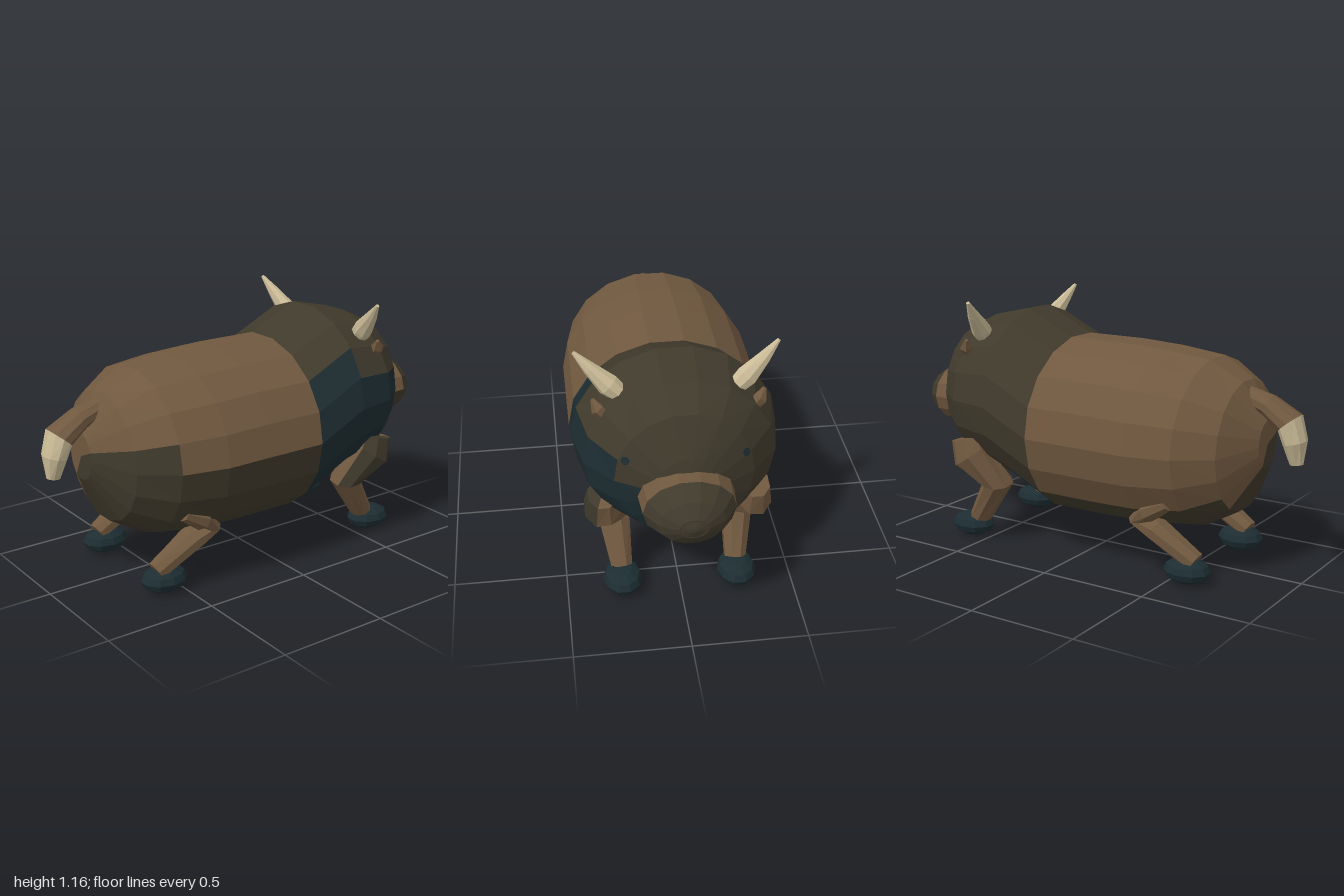
import * as THREE from 'three';

const mat = (name, color) => Object.assign(new THREE.MeshStandardMaterial({ color, flatShading: true }), { name });

// Loft through rings [x, y, z, halfWidthX, halfDepth]; pick(ring, angle) returns a material index.
function loft(name, rings, sides, mats, pick = () => 0, alongZ = false, phase = 0) {
  const P = rings.map(r => new THREE.Vector3(r[0], r[1], r[2]));
  const loops = rings.map((r, i) => {
    const t = alongZ ? new THREE.Vector3(0, 0, 1)
      : P[Math.min(i + 1, P.length - 1)].clone().sub(P[Math.max(i - 1, 0)]).normalize();
    const u = new THREE.Vector3(1, 0, 0).addScaledVector(t, -t.x).normalize();
    const v = t.clone().cross(u);
    return Array.from({ length: sides }, (_, j) => {
      const a = (j + phase) / sides * Math.PI * 2;
      return P[i].clone().addScaledVector(u, Math.cos(a) * r[3]).addScaledVector(v, Math.sin(a) * r[4]);
    });
  });
  const buckets = mats.map(() => []);
  const tri = (m, ...pts) => pts.forEach(p => buckets[m].push(p.x, p.y, p.z));
  const last = P.length - 1;
  for (let j = 0; j < sides; j++) {
    const k = (j + 1) % sides;
    const ang = (j + 0.5 + phase) / sides * 360;
    for (let i = 0; i < last; i++) {
      const m = pick(i, ang), A = loops[i], B = loops[i + 1];
      tri(m, A[j], A[k], B[k]);
      tri(m, A[j], B[k], B[j]);
    }
    tri(pick(-1, ang), P[0], loops[0][k], loops[0][j]);
    tri(pick(last, ang), P[last], loops[last][j], loops[last][k]);
  }
  const g = new THREE.BufferGeometry();
  let start = 0;
  buckets.forEach((b, m) => {
    g.addGroup(start, b.length / 3, m);
    start += b.length / 3;
  });
  g.setAttribute('position', new THREE.Float32BufferAttribute(buckets.flat(), 3));
  g.computeVertexNormals();
  const mesh = new THREE.Mesh(g, mats);
  mesh.name = name;
  return mesh;
}

// True when an angle lies between two bounds in degrees, wrapping round
const between = (a, lo, hi) => ((a - lo) % 360 + 360) % 360 < hi - lo;

export function createModel() {
  const model = new THREE.Group();
  model.name = 'hornedBeast';
  const brown = mat('brownHide', 0x70583f);
  const olive = mat('darkHide', 0x403a2c);
  const navy = mat('blueBlack', 0x1d2d32);
  const cream = mat('horn', 0xcabb97);
  const hide = [brown, olive, navy];

  // Head and body in one shell, nose end first
  const bodyRings = [
    [0, 0.66, -0.82, 0.08, 0.10],
    [0, 0.68, -0.80, 0.13, 0.15],
    [0, 0.69, -0.72, 0.29, 0.30],
    [0, 0.69, -0.58, 0.405, 0.365],
    [0, 0.69, -0.38, 0.445, 0.41],
    [0, 0.575, -0.14, 0.445, 0.41],
    [0, 0.575, 0.15, 0.445, 0.41],
    [0, 0.573, 0.36, 0.445, 0.4],
    [0, 0.575, 0.57, 0.405, 0.375],
    [0, 0.575, 0.72, 0.29, 0.29],
    [0, 0.595, 0.82, 0.09, 0.105],
  ];
  model.add(loft('body', bodyRings, 18, hide, (i, a) => {
    if (i < 2) return between(a, -120, 0) ? 2 : 1;
    if (i < 4) return between(a, -120, 20) ? 2 : 1;
    if (i === 4) return between(a, -140, 40) ? 2 : 1;
    if (i < 8) return between(a, -140, 0) ? 1 : 0;
    if (i === 8) return between(a, -140, 20) ? 1 : 0;
    return between(a, -120, 20) ? 1 : 0;
  }, true));

  // Snout
  model.add(loft('snout', [
    [0, 0.63, -0.99, 0.06, 0.045],
    [0, 0.63, -0.95, 0.135, 0.105],
    [0, 0.635, -0.875, 0.19, 0.142],
    [0, 0.635, -0.74, 0.2, 0.145],
  ], 14, hide, (i, a) => (i === 2 && between(a, 0, 220) ? 0 : 1), true));
  const noseTip = loft('noseTip', [
    [0, 0.63, -1.0, 0.01, 0.01],
    [0, 0.63, -0.988, 0.06, 0.045],
  ], 14, [olive], undefined, true);
  model.add(noseTip);

  // Tail bending down to a pale tip
  model.add(loft('tail', [
    [0, 0.80, 0.70, 0.045, 0.045],
    [0, 0.765, 0.82, 0.065, 0.047],
    [0, 0.70, 0.92, 0.082, 0.057],
    [0, 0.62, 0.945, 0.07, 0.05],
    [0, 0.525, 0.955, 0.028, 0.03],
  ], 10, [brown, cream], i => (i >= 2 ? 1 : 0), false, 0.5));

  for (const s of [1, -1]) {
    const side = s > 0 ? 'left' : 'right';

    // Horn
    model.add(loft(side + 'Horn', [
      [s * 0.22, 0.95, -0.51, 0.035, 0.035],
      [s * 0.285, 1.01, -0.5, 0.048, 0.042],
      [s * 0.36, 1.085, -0.48, 0.028, 0.026],
      [s * 0.42, 1.15, -0.46, 0.008, 0.008],
    ], 8, [cream]));

    // Ear
    model.add(loft(side + 'Ear', [
      [s * 0.29, 0.88, -0.555, 0.025, 0.025],
      [s * 0.335, 0.93, -0.55, 0.03, 0.032],
      [s * 0.355, 0.967, -0.53, 0.008, 0.008],
    ], 5, [brown]));

    // Eye
    const eye = new THREE.Mesh(new THREE.CircleGeometry(0.02, 6), navy);
    const n = new THREE.Vector3(s * 0.42, 0.21, -0.88).normalize();
    eye.name = side + 'Eye';
    eye.position.set(s * 0.24, 0.81, -0.745).addScaledVector(n, 0.012);
    eye.quaternion.setFromUnitVectors(new THREE.Vector3(0, 0, 1), n);
    model.add(eye);

    // Front leg, dark on the outer face of the left one
    model.add(loft(side + 'FrontLeg', [
      [s * 0.33, 0.5, -0.56, 0.065, 0.085],
      [s * 0.33, 0.42, -0.54, 0.085, 0.1],
      [s * 0.275, 0.29, -0.43, 0.075, 0.075],
      [s * 0.255, 0.09, -0.56, 0.05, 0.05],
    ], 8, [brown, olive], (i, a) => (s > 0 && i < 2 && between(a, -50, 50) ? 1 : 0), false, 0.5));

    // Hind leg
    model.add(loft(side + 'HindLeg', [
      [s * 0.31, 0.36, 0.52, 0.04, 0.03],
      [s * 0.29, 0.31, 0.42, 0.07, 0.05],
      [s * 0.27, 0.27, 0.36, 0.075, 0.055],
      [s * 0.265, 0.22, 0.43, 0.075, 0.05],
      [s * 0.255, 0.10, 0.62, 0.05, 0.045],
    ], 8, [brown], undefined, false, 0.5));

    // Feet
    for (const [label, z] of [['FrontFoot', -0.6], ['HindFoot', 0.58]]) {
      const foot = new THREE.Mesh(new THREE.SphereGeometry(1, 10, 6), navy);
      foot.name = side + label;
      foot.scale.set(0.087, 0.057, 0.108);
      foot.position.set(s * 0.255, 0.057, z);
      model.add(foot);
    }
  }
  return model;
}
